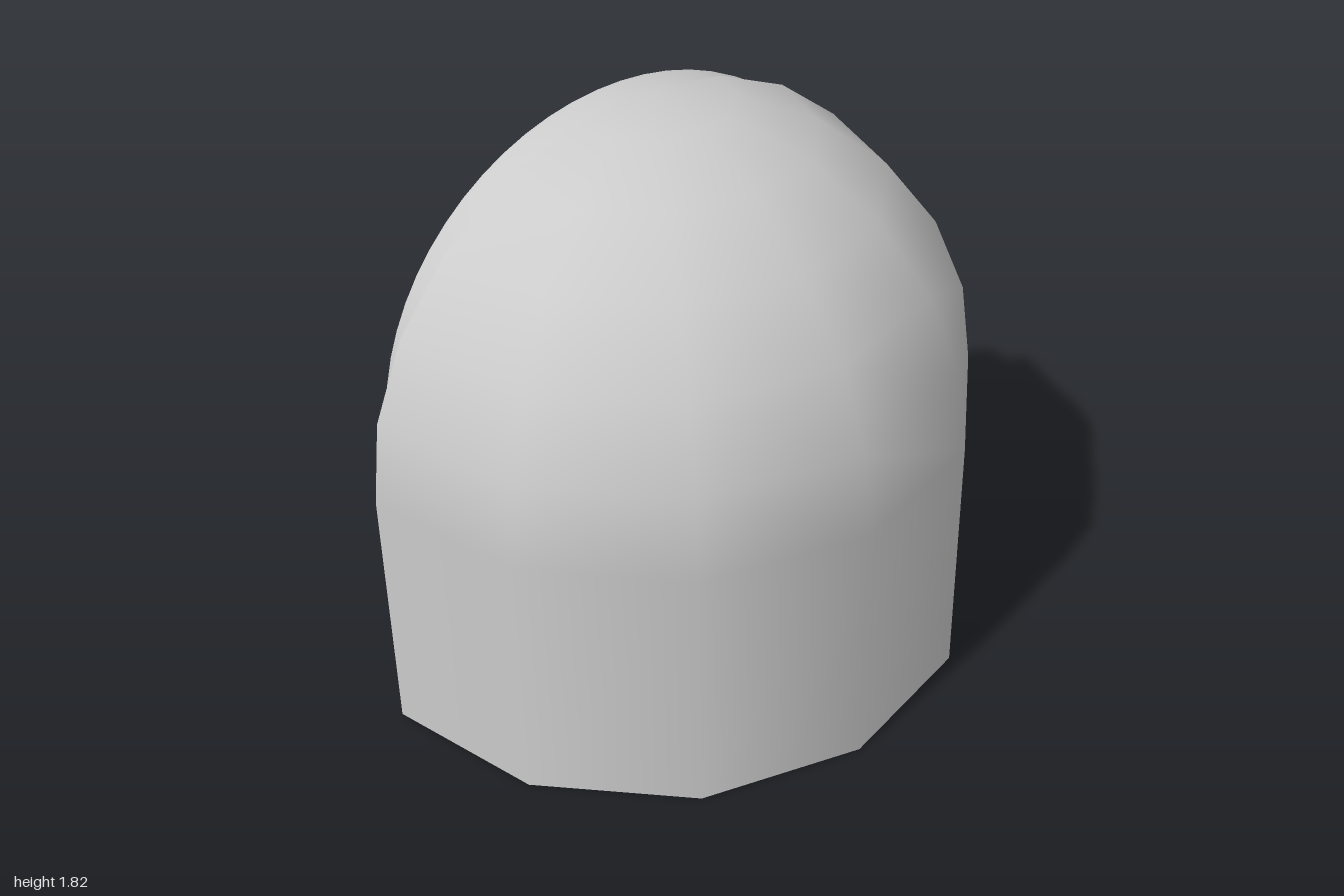
import * as THREE from 'three';
import { toCreasedNormals } from 'three/addons/utils/BufferGeometryUtils.js';

const BASE_Y = 0.815;   // height where the dome starts
const WALL_X = -0.4275; // plane of the flat wall
const RING_Y = 0.923;   // centre height of the ring

export function createModel() {
  const group = new THREE.Group();
  const material = new THREE.MeshStandardMaterial({ color: 0xcccccc });
  const add = (name, geometry, x, y) => {
    const mesh = new THREE.Mesh(geometry, material);
    mesh.name = name;
    mesh.position.set(x, y, 0);
    group.add(mesh);
  };

  // Half-round body with a quarter-sphere dome on top
  add('dome', new THREE.SphereGeometry(1, 6, 6, Math.PI / 2, Math.PI, 0, Math.PI / 2), WALL_X, BASE_Y);
  add('bodySide', new THREE.CylinderGeometry(1, 1, BASE_Y, 6, 1, true, 0, Math.PI), WALL_X, BASE_Y / 2);
  add('bodyBottom', new THREE.CircleGeometry(1, 6, -Math.PI / 2, Math.PI).rotateX(Math.PI / 2), WALL_X, 0);

  // Flat arched wall
  const arch = [new THREE.Vector2(-1, 0), new THREE.Vector2(1, 0)];
  for (let i = 0; i <= 12; i++) {
    const a = (i * Math.PI) / 12;
    arch.push(new THREE.Vector2(Math.cos(a), BASE_Y + Math.sin(a)));
  }
  add('flatWall', new THREE.ShapeGeometry(new THREE.Shape(arch)).rotateY(-Math.PI / 2), WALL_X, 0);

  // Raised ring with a softly bevelled outer rim
  const profile = [
    [0.873, 0], [0.873, 0.112], [0.869, 0.133], [0.858, 0.145], [0.725, 0.145], [0.725, 0],
  ].map(([r, h]) => new THREE.Vector2(r, h));
  const ring = new THREE.LatheGeometry(profile, 64).rotateZ(Math.PI / 2);
  add('ring', toCreasedNormals(ring, 0.5), WALL_X, RING_Y);

  // Small six-sided pin in the middle of the recess
  const pin = new THREE.CylinderGeometry(0.07, 0.07, 0.05, 6).rotateZ(Math.PI / 2);
  add('centrePin', toCreasedNormals(pin, 0.5), WALL_X - 0.025, RING_Y);

  return group;
}
